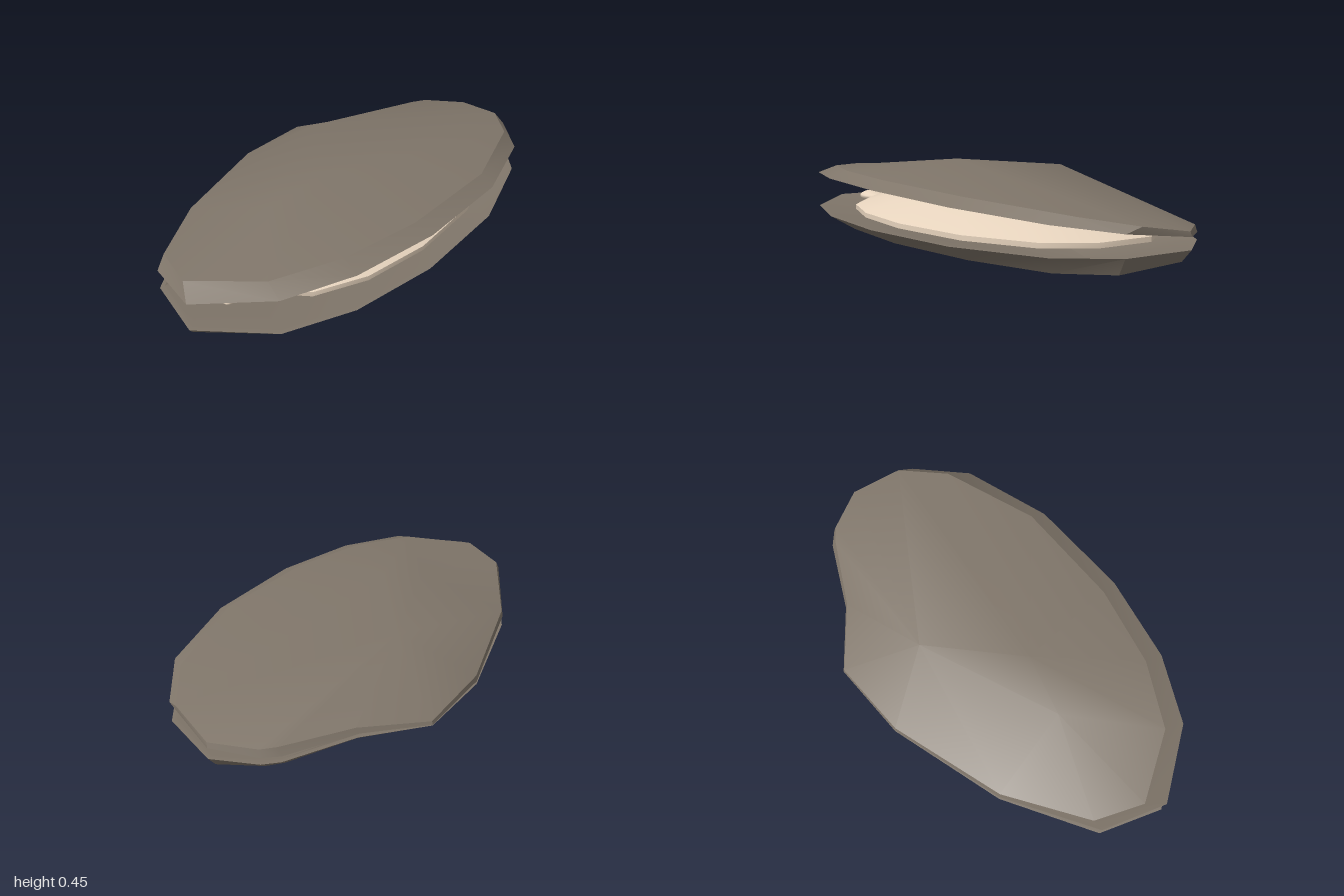
import * as THREE from 'three';
import { toCreasedNormals } from 'three/addons/utils/BufferGeometryUtils.js';

const shellMat = new THREE.MeshStandardMaterial({ color: 0x80766a, side: THREE.DoubleSide });
const fleshMat = new THREE.MeshStandardMaterial({ color: 0xe6d3bd, side: THREE.DoubleSide });

// Shell outline seen from above: x, z
const outline = [
  [-0.24, -1], [0.07, -0.975], [0.3, -0.81], [0.51, -0.44], [0.625, 0.02],
  [0.64, 0.42], [0.57, 0.73], [0.34, 0.995], [0.05, 0.965], [-0.27, 0.64],
  [-0.55, 0.16], [-0.645, -0.2], [-0.51, -0.48], [-0.44, -0.8], [-0.4, -0.87],
];

// Joins consecutive rings of [x, y, z] points, skipping collapsed triangles
function skin(rings, flip, crease) {
  const pos = [];
  const same = (p, q) => p.every((v, i) => Math.abs(v - q[i]) < 1e-6);
  const tri = (a, b, c) => {
    if (same(a, b) || same(b, c) || same(a, c)) return;
    pos.push(...a, ...(flip ? [...c, ...b] : [...b, ...c]));
  };
  for (let r = 0; r < rings.length - 1; r++) {
    const A = rings[r], B = rings[r + 1];
    for (let i = 0; i < A.length; i++) {
      const j = (i + 1) % A.length;
      tri(A[i], B[i], A[j]);
      tri(A[j], B[i], B[j]);
    }
  }
  // Close the last ring with a fan from its +x side
  const last = rings[rings.length - 1], n = last.length, hub = 4;
  for (let i = 1; i < n - 1; i++) tri(last[hub], last[(hub + i + 1) % n], last[(hub + i) % n]);
  const g = new THREE.BufferGeometry();
  g.setAttribute('position', new THREE.Float32BufferAttribute(pos, 3));
  return toCreasedNormals(g, crease);
}

function add(parent, name, geometry, material) {
  const m = new THREE.Mesh(geometry, material);
  m.name = name;
  parent.add(m);
  return m;
}

// A valve: smooth outer dome, plus bevel, lip and lining
function valve(parent, name, lipY, bevel, crest, inset, flip) {
  const lip = outline.map(([x, z]) => [x, lipY(x), z]);
  const innerLip = lip.map(([x, y, z]) => [x * 0.965, y, z * 0.975]);
  const innerCrest = crest.map(([x, y, z]) => [x, y + inset, z]);
  const shell = new THREE.Group();
  shell.name = name;
  parent.add(shell);
  add(shell, 'dome', skin([bevel, crest], flip, 1.2), shellMat);
  add(shell, 'rimAndLining', skin([bevel, lip, innerLip, innerCrest], !flip, 0.5), shellMat);
}

export function createModel() {
  const group = new THREE.Group();

  // Upper valve, tilted open about the hinge; its bevel fades out on the -x side
  const upperBevel = [
    [-0.235, 0.268, -0.995], [0, 0.31, -0.985], [0.2, 0.345, -0.84], [0.44, 0.385, -0.44],
    [0.55, 0.4, 0.05], [0.555, 0.4, 0.42], [0.48, 0.388, 0.72], [0.25, 0.36, 0.955],
    [0.03, 0.335, 0.92], [-0.265, 0.27, 0.635], [-0.545, 0.235, 0.16], [-0.64, 0.213, -0.2],
    [-0.5, 0.237, -0.48], [-0.42, 0.255, -0.8], [-0.39, 0.258, -0.865],
  ];
  const peak = [0.1, 0.45, 0.19], slope = [0.1, 0.402, 0.46], shoulder = [-0.3, 0.425, -0.08];
  const upperCrest = outline.map((_, i) =>
    (i < 1 || i > 8 ? shoulder : i <= 5 ? peak : slope));
  const upperLip = (x) => {
    const t = (x + 0.645) / 1.285;
    return 0.198 + 0.145 * t + 0.027 * t * t;
  };
  valve(group, 'upperShell', upperLip, upperBevel, upperCrest, -0.03, false);

  // Lower valve, with a level rim and a bevel that fades toward the hinge
  const lowerBevel = outline.map(([x, z]) => [
    x * 0.95 - 0.08 * THREE.MathUtils.smoothstep(x, 0.1, 0.6),
    0.175 - 0.05 * THREE.MathUtils.smoothstep(x, -0.65, 0.05),
    z * 0.962,
  ]);
  const back = [-0.1, 0.05, -0.6], right = [0.14, 0.025, 0.2];
  const front = [-0.04, 0.085, 0.67], left = [-0.35, 0, -0.05];
  const lowerCrest = outline.map((_, i) =>
    (i <= 2 || i >= 13 ? back : i <= 5 ? right : i <= 8 ? front : left));
  valve(group, 'lowerShell', () => 0.195, lowerBevel, lowerCrest, 0.03, true);

  // Soft body: scaled outline rising in a low dome
  const sections = [[0.5, 0.13], [1, 0.2], [1, 0.222], [0.88, 0.251], [0.65, 0.294],
    [0.42, 0.338], [0.2, 0.362], [0.001, 0.367]];
  const bodyRings = sections.map(([s, y]) =>
    outline.map(([x, z]) => [x * 0.83 * s, y, (z * 0.77 - 0.05) * s + 0.1 * (1 - s)]));
  add(group, 'body', skin(bodyRings, false, 0.6), fleshMat);

  // Pair of flattened siphons with rounded rims and wide, shallow mouths
  const profile = [[0.042, 0], [0.044, 0.12], [0.058, 0.15], [0.064, 0.18], [0.06, 0.205],
    [0.052, 0.215], [0.045, 0.205], [0.035, 0.185], [0, 0.17]].map((p) => new THREE.Vector2(...p));
  [0.135, 0.262].forEach((x, i) => {
    const g = new THREE.LatheGeometry(profile, 14).rotateX(Math.PI / 2).scale(1, 0.42, 1);
    const m = add(group, i ? 'leftSiphon' : 'rightSiphon', g, fleshMat);
    m.position.set(x, 0.213, 0.655 - 0.06 * i);
  });

  return group;
}
